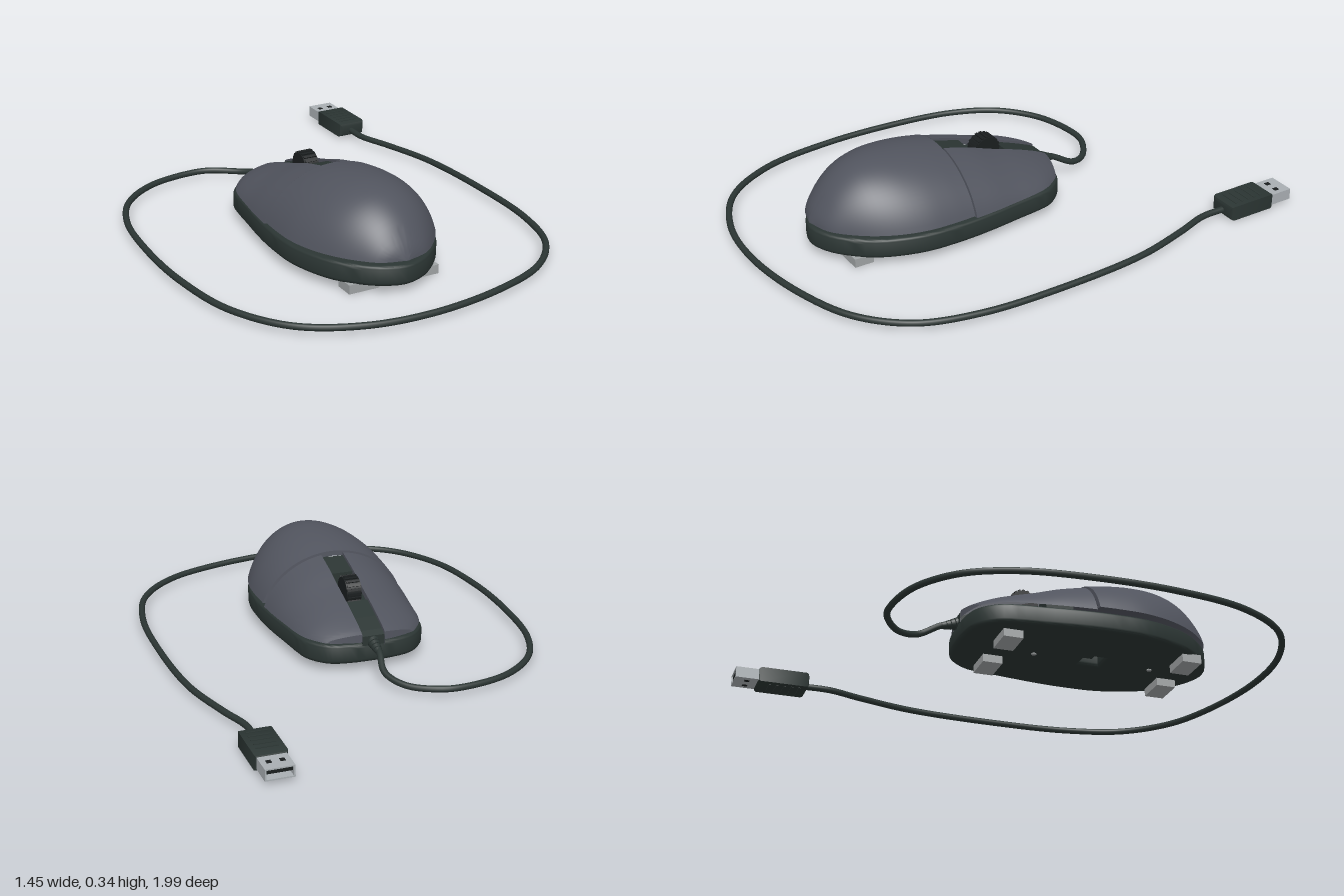
import * as THREE from 'three';
import { toCreasedNormals } from 'three/addons/utils/BufferGeometryUtils.js';

const mat = (name, color, side = THREE.FrontSide) => {
  const m = new THREE.MeshStandardMaterial({ color, side });
  m.name = name;
  return m;
};
const V = (x, y, z) => new THREE.Vector3(x, y, z);
const ARC = 1.25; // half angle of the domed cross-section

// Rows follow a curve of (half width, top height, z); columns run across the dome.
function dome(curve, rows, cols, bottom, colStart, extras) {
  const pts = [...curve.getPoints(rows)];
  if (extras.first) pts.unshift(extras.first);
  if (extras.last) pts.push(extras.last);
  const pos = [], idx = [];
  const n = cols + 1 + (extras.wall ? 1 : 0);
  for (const p of pts) {
    const w = Math.max(p.x, 0.001), a0 = colStart(w);
    for (let j = 0; j < n; j++) {
      const wall = extras.wall && j === 0;
      const k = extras.wall ? Math.max(j - 1, 0) : j;
      const a = (a0 + (1 - a0) * k / cols) * ARC;
      const u = Math.sin(a) / Math.sin(ARC);
      const y = bottom + (p.y - bottom) * (Math.cos(a) - Math.cos(ARC)) / (1 - Math.cos(ARC));
      const bow = extras.bow ? 0.04 * u * u * Math.max(0, Math.min(1, -p.z / 0.26)) : 0;
      pos.push(u * w, wall ? y - 0.025 : y, p.z + bow);
    }
  }
  for (let i = 0; i < pts.length - 1; i++) for (let j = 0; j < n - 1; j++) {
    const a = i * n + j, b = a + n;
    idx.push(a, b, a + 1, b, b + 1, a + 1);
  }
  const g = new THREE.BufferGeometry();
  g.setAttribute('position', new THREE.Float32BufferAttribute(pos, 3));
  g.setIndex(idx);
  return toCreasedNormals(g, 0.6);
}

export function createModel() {
  const root = new THREE.Group();
  const grey = mat('shell grey', 0x51545e, THREE.DoubleSide);
  const dark = mat('dark green grey', 0x2b3533);
  const black = mat('black', 0x1a1e1f);
  const metal = mat('metal', 0xa9afb3);
  const pad = mat('foot grey', 0xa0a4a5);

  const add = (parent, name, geo, m, x = 0, y = 0, z = 0) => {
    const mesh = new THREE.Mesh(geo, m);
    mesh.name = name;
    mesh.position.set(x, y, z);
    parent.add(mesh);
    return mesh;
  };
  const box = (w, h, d) => new THREE.BoxGeometry(w, h, d);

  const body = new THREE.Group();
  body.name = 'body';
  body.position.x = -0.022;
  root.add(body);

  // Base tray with a sensor opening
  const half = [[0.085, -0.258], [0.15, -0.246], [0.187, -0.225], [0.235, -0.165], [0.25, -0.1], [0.263, 0],
    [0.277, 0.1], [0.287, 0.2], [0.29, 0.3], [0.286, 0.4], [0.262, 0.5], [0.218, 0.6], [0.15, 0.68], [0.085, 0.73]];
  const ring = [[0, -0.262], ...half, [0, 0.757], ...half.map(([x, z]) => [-x, z]).reverse()];
  const outline = new THREE.CatmullRomCurve3(ring.map(([x, z]) => V(x, z, 0)), true).getPoints(80).slice(0, -1);
  const tray = new THREE.Shape(outline.map(p => new THREE.Vector2(p.x * 0.945, 0.25 + (p.y - 0.25) * 0.97)));
  const opening = new THREE.Path();
  [[-0.055, 0.235], [-0.055, 0.345], [0.055, 0.345], [0.055, 0.235]].forEach(([x, y], i) =>
    i ? opening.lineTo(x, y) : opening.moveTo(x, y));
  opening.closePath();
  tray.holes.push(opening);
  const trayGeo = new THREE.ExtrudeGeometry(tray, { depth: 0.046, bevelSize: 0.016, bevelThickness: 0.016, bevelSegments: 4 });
  trayGeo.rotateX(Math.PI / 2);
  add(body, 'base', toCreasedNormals(trayGeo, 0.7), dark, 0, 0.093, 0);
  add(body, 'sensorFloor', box(0.12, 0.01, 0.12), black, 0, 0.08, 0.29);
  add(body, 'sensorLens', box(0.035, 0.02, 0.045), dark, 0.015, 0.068, 0.28);
  for (const z of [0.05, 0.53])
    add(body, 'screw', new THREE.CylinderGeometry(0.01, 0.01, 0.006, 16), pad, 0, 0.03, z);
  for (const x of [-0.125, 0.125]) for (const z of [-0.095, 0.63])
    add(body, 'foot', box(0.123, 0.035, 0.078), pad, x, 0.0175, z);

  // Palm shell
  const palm = new THREE.CatmullRomCurve3([V(0.287, 0.31, 0.214), V(0.29, 0.326, 0.3), V(0.286, 0.336, 0.4),
    V(0.262, 0.335, 0.5), V(0.22, 0.313, 0.59), V(0.16, 0.26, 0.67), V(0.09, 0.185, 0.73), V(0, 0.128, 0.757)]);
  add(body, 'palmShell', dome(palm, 28, 36, 0.127, () => -1, { first: V(0.27, 0.29, 0.212) }), grey);

  // Two click buttons either side of the centre strip
  const press = new THREE.CatmullRomCurve3([V(0.286, 0.305, 0.204), V(0.277, 0.278, 0.1), V(0.263, 0.243, 0),
    V(0.25, 0.212, -0.1), V(0.233, 0.188, -0.17), V(0.198, 0.162, -0.235), V(0.178, 0.148, -0.262)]);
  const pressGeo = dome(press, 24, 18, 0.115, w => Math.asin(0.045 * Math.sin(ARC) / w) / ARC,
    { first: V(0.27, 0.285, 0.206), last: V(0.176, 0.115, -0.264), wall: true, bow: true });
  add(body, 'leftButton', pressGeo, grey);
  add(body, 'rightButton', pressGeo, grey).scale.x = -1;

  // Centre strip in front of and behind the wheel, with a dark well between
  const slab = (name, top, floor, m) => {
    const s = new THREE.Shape();
    s.moveTo(top[0][0], floor);
    top.forEach(([z, y]) => s.lineTo(z, y));
    s.lineTo(top[top.length - 1][0], floor);
    const g = new THREE.ExtrudeGeometry(s, { depth: 0.086, bevelEnabled: false });
    g.translate(0, 0, -0.043).rotateY(-Math.PI / 2);
    add(body, name, g, m);
  };
  slab('frontStrip', [[-0.262, 0.138], [-0.235, 0.151], [-0.17, 0.177], [-0.08, 0.209]], 0.1, dark);
  slab('rearStrip', [[0.088, 0.264], [0.2, 0.292]], 0.13, dark);
  slab('wheelWell', [[-0.08, 0.17], [0.088, 0.19]], 0.1, black);

  // Scroll wheel with grip ribs
  const wheel = new THREE.Group();
  wheel.name = 'scrollWheel';
  wheel.position.set(0, 0.226, 0);
  body.add(wheel);
  add(wheel, 'wheelCore', new THREE.CylinderGeometry(0.053, 0.053, 0.06, 32).rotateZ(Math.PI / 2), black);
  for (let i = 0; i < 20; i++) {
    const a = i / 20 * Math.PI * 2;
    add(wheel, 'wheelRib', box(0.054, 0.01, 0.009), black, 0, Math.cos(a) * 0.053, Math.sin(a) * 0.053).rotation.x = a;
  }

  // Cable: leaves the nose, drops to the table and loops round to the plug
  const loop = [[-0.06, -0.5], [-0.17, -0.572], [-0.26, -0.582], [-0.44, -0.54], [-0.59, -0.42], [-0.675, -0.24],
    [-0.712, 0.03], [-0.71, 0.34], [-0.655, 0.63], [-0.52, 0.84], [-0.31, 0.95], [-0.06, 0.98], [0.245, 0.935],
    [0.48, 0.84], [0.63, 0.68], [0.698, 0.45], [0.713, 0.13], [0.69, -0.24], [0.63, -0.475], [0.587, -0.61], [0.585, -0.72]];
  const path = new THREE.CatmullRomCurve3([V(-0.022, 0.112, -0.25), V(-0.022, 0.095, -0.32), V(-0.01, 0.05, -0.41),
    ...loop.map(([x, z]) => V(x, 0.029, z))]);
  add(root, 'cable', new THREE.TubeGeometry(path, 260, 0.0125, 12), dark);

  // Ribbed strain relief
  for (let i = 0; i < 4; i++) {
    const r = 0.025 - i * 0.003;
    add(root, 'strainRelief', new THREE.CylinderGeometry(r - 0.003, r, 0.014, 20), dark,
      -0.022, 0.11 - i * 0.005, -0.262 - i * 0.017).rotation.x = -Math.PI / 2 - 0.25;
  }

  // Plug grip, hollow metal connector and contact tongue
  const plug = new THREE.Group();
  plug.name = 'plug';
  plug.position.set(0.587, 0.036, 0);
  root.add(plug);
  const rect = (S, w, h) => {
    const s = new S();
    s.moveTo(-w, -h); s.lineTo(w, -h); s.lineTo(w, h); s.lineTo(-w, h); s.closePath();
    return s;
  };
  const grip = new THREE.ExtrudeGeometry(rect(THREE.Shape, 0.047, 0.017),
    { depth: 0.181, bevelSize: 0.013, bevelThickness: 0.012, bevelSegments: 2 });
  add(plug, 'plugGrip', toCreasedNormals(grip, 0.5), dark, 0, 0, -0.898);
  for (let i = 0; i < 5; i++)
    add(plug, 'gripRib', box(0.08, 0.064, 0.008), dark, 0, 0, -0.86 + i * 0.03);
  const sleeve = rect(THREE.Shape, 0.053, 0.022);
  sleeve.holes.push(rect(THREE.Path, 0.047, 0.017));
  add(plug, 'connectorSleeve', new THREE.ExtrudeGeometry(sleeve, { depth: 0.095, bevelEnabled: false }), metal, 0, 0, -1);
  add(plug, 'connectorTongue', box(0.092, 0.016, 0.085), black, 0, 0.009, -0.952);
  for (let i = 0; i < 4; i++)
    add(plug, 'contact', box(0.012, 0.004, 0.07), metal, -0.033 + i * 0.022, 0, -0.955);
  for (const x of [-0.024, 0.024]) for (const y of [-0.0225, 0.0225])
    add(plug, 'latchWindow', box(0.018, 0.002, 0.02), black, x, y, -0.95);
  return root;
}
